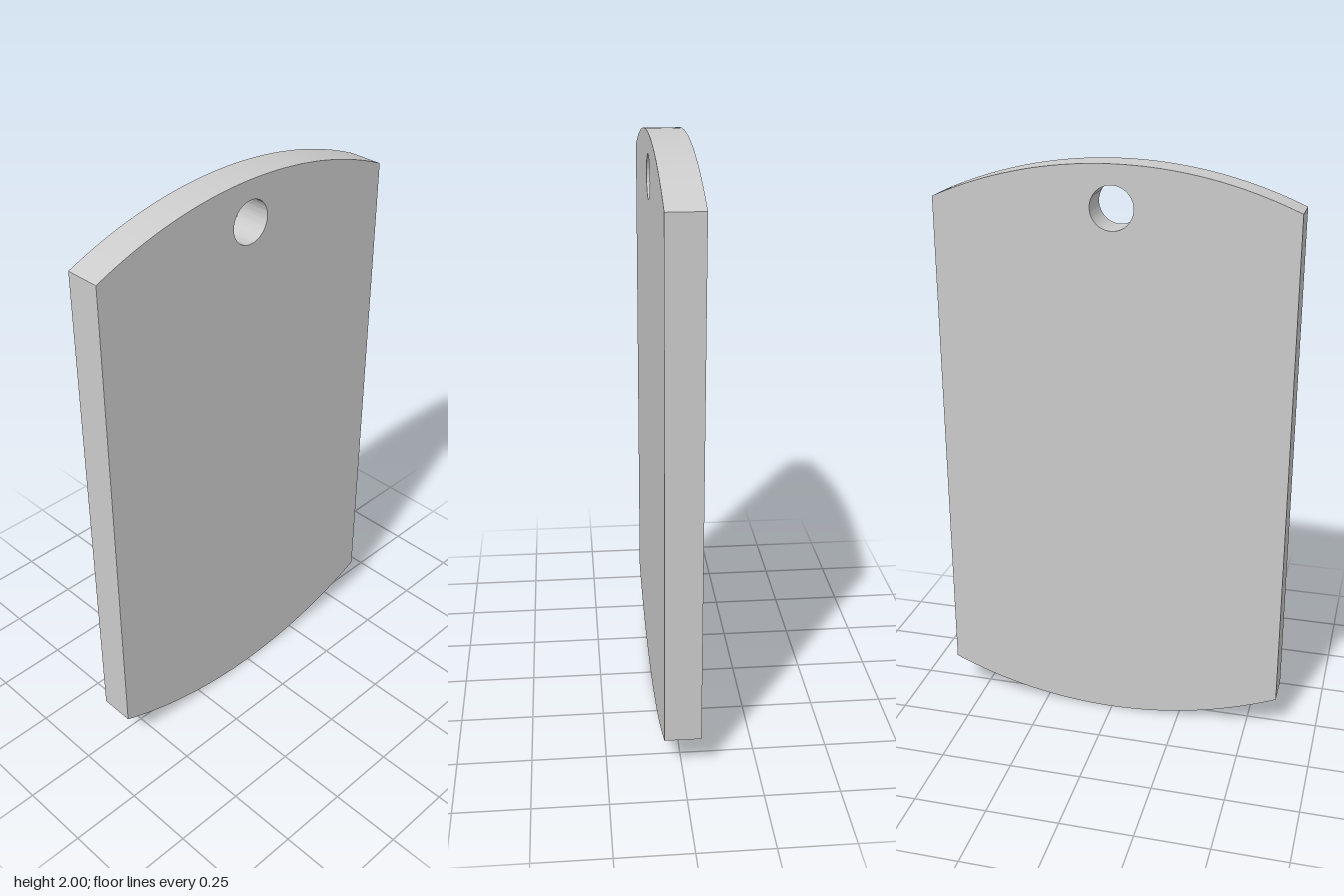
import * as THREE from 'three';
import { toCreasedNormals } from 'three/addons/utils/BufferGeometryUtils.js';

export function createModel() {
  const height = 2, halfWidth = 0.607, depth = 0.122;
  const rise = 0.128; // height of the curved ends
  const radius = (halfWidth ** 2 + rise ** 2) / (2 * rise);
  const sweep = Math.asin(halfWidth / radius);

  // Outline: bowed bottom and top joined by straight sides
  const outline = new THREE.Shape();
  outline.absarc(0, radius, radius, -Math.PI / 2 - sweep, -Math.PI / 2 + sweep, false);
  outline.absarc(0, height - radius, radius, Math.PI / 2 - sweep, Math.PI / 2 + sweep, false);
  outline.closePath();

  // Round hole for the chain
  const hole = new THREE.Path();
  hole.absarc(0, 1.86, 0.073, 0, Math.PI * 2, true);
  outline.holes.push(hole);

  const geometry = new THREE.ExtrudeGeometry(outline, { depth, bevelEnabled: false, curveSegments: 32 });
  geometry.translate(0, 0, -depth / 2);

  const plate = new THREE.Mesh(
    toCreasedNormals(geometry, Math.PI / 6),
    new THREE.MeshStandardMaterial({ color: 0xcccccc })
  );
  plate.name = 'tagPlate';

  const model = new THREE.Group();
  model.name = 'tag';
  model.add(plate);
  return model;
}
